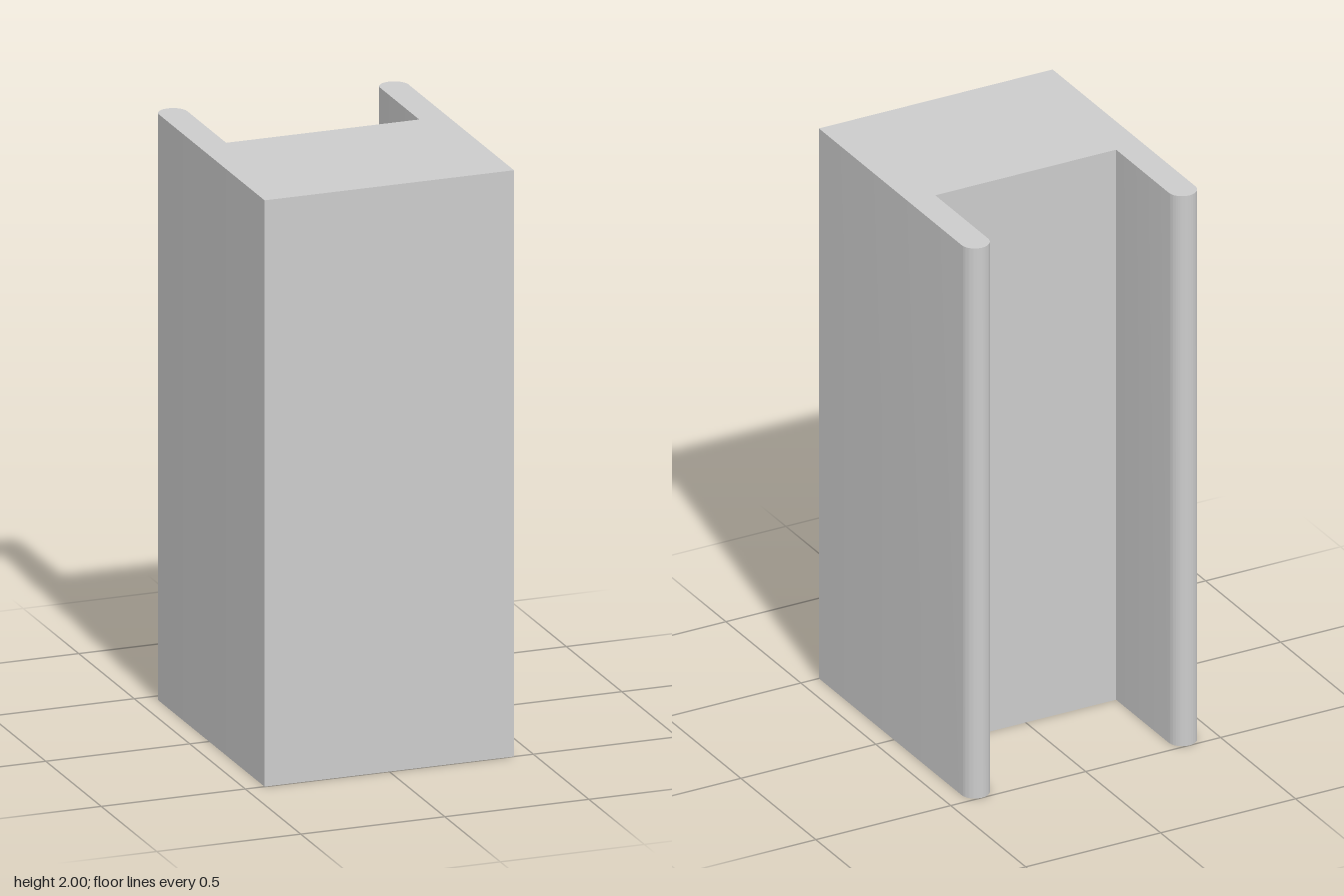
import * as THREE from 'three';
import { toCreasedNormals } from 'three/addons/utils/BufferGeometryUtils.js';

const HALF_WIDTH = 0.433, HALF_DEPTH = 0.5, HEIGHT = 2;
const FLANGE = 0.098;      // thickness of the two rear flanges
const CHANNEL_Z = -0.1;    // floor of the rear channel

export function createModel() {
  const group = new THREE.Group();
  group.name = 'channelBlock';

  // Plan outline, drawn with shape y = -z: block with two round-ended flanges
  const r = FLANGE / 2, tip = HALF_DEPTH - r;
  const plan = new THREE.Shape();
  plan.moveTo(-HALF_WIDTH, -HALF_DEPTH);
  plan.lineTo(HALF_WIDTH, -HALF_DEPTH);
  plan.lineTo(HALF_WIDTH, tip);
  plan.absarc(HALF_WIDTH - r, tip, r, 0, Math.PI, false);
  plan.lineTo(HALF_WIDTH - FLANGE, -CHANNEL_Z);
  plan.lineTo(-HALF_WIDTH + FLANGE, -CHANNEL_Z);
  plan.lineTo(-HALF_WIDTH + FLANGE, tip);
  plan.absarc(-HALF_WIDTH + r, tip, r, 0, Math.PI, false);
  plan.closePath();

  // Upright extrusion, smooth only around the flange tips
  const extrusion = new THREE.ExtrudeGeometry(plan, { depth: HEIGHT, bevelEnabled: false, curveSegments: 40 });
  extrusion.rotateX(-Math.PI / 2);

  const body = new THREE.Mesh(
    toCreasedNormals(extrusion, 0.5),
    new THREE.MeshStandardMaterial({ color: 0xcccccc })
  );
  body.name = 'channelBody';
  group.add(body);
  return group;
}
